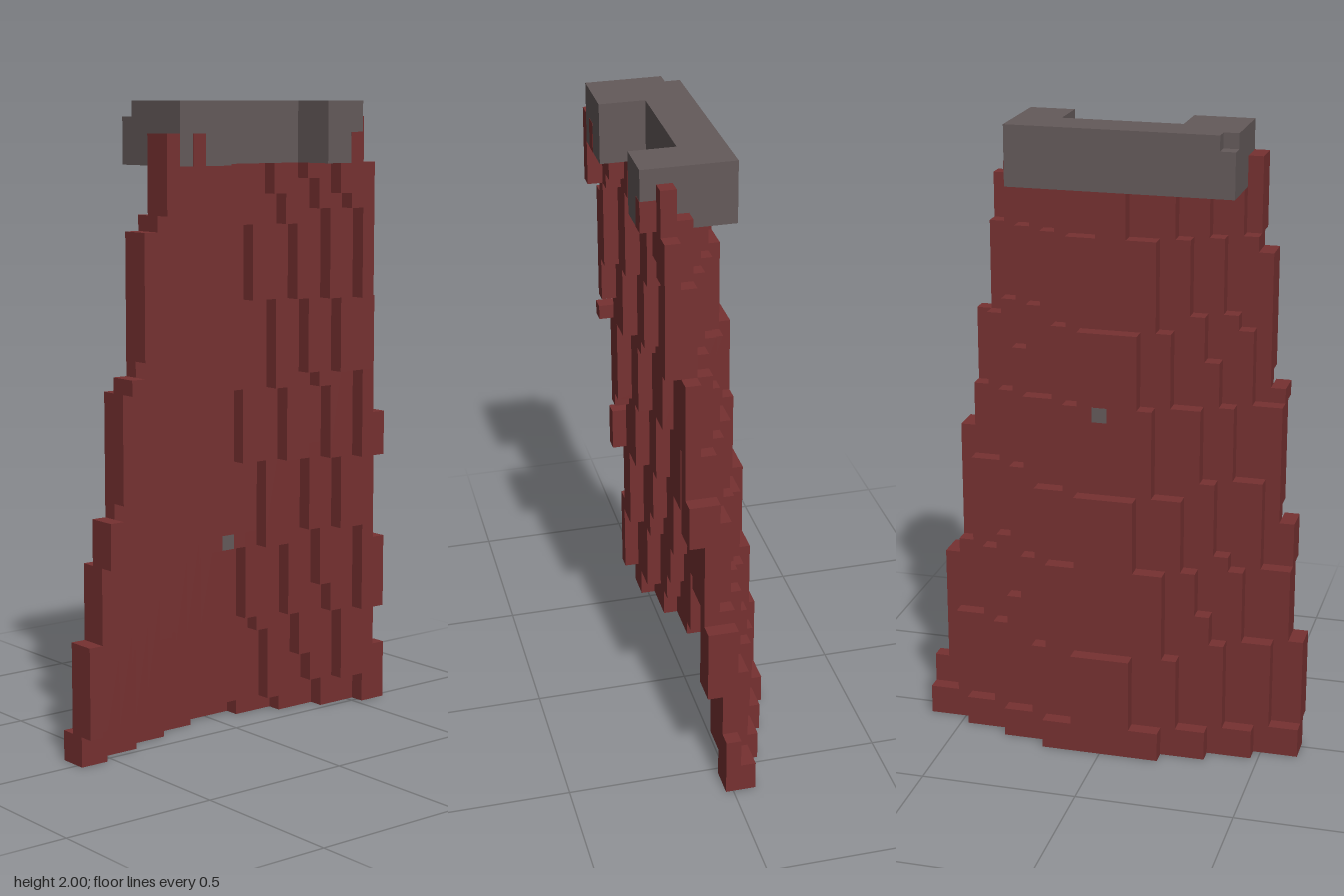
import * as THREE from 'three';
import { mergeGeometries } from 'three/addons/utils/BufferGeometryUtils.js';

const V = 2 / 42; // edge of one block

// Box between two corners, given in blocks
function block(x0, x1, y0, y1, z0, z1) {
  const g = new THREE.BoxGeometry((x1 - x0) * V, (y1 - y0) * V, (z1 - z0) * V);
  return g.translate((x0 + x1) / 2 * V, (y0 + y1) / 2 * V, (z0 + z1) / 2 * V);
}

// The curve across the cloth rises in half-block folds, starting at these shares of the half width
const FOLDS = [0.128, 0.28, 0.39, 0.51, 0.62, 0.73, 0.84, 0.945];
const foldRise = (u, most) => 0.496 * Math.min(most, FOLDS.filter((f) => u >= f).length);

// Back and front of the cloth at block column x, row y; it leans forward one block every 11 rows
function clothSpan(x, y) {
  const u = Math.abs(x) / (13.15 - 0.12 * y);
  const back = -4.5 + Math.floor((y + 4.1) / 11 + foldRise(u - 0.03, 7));
  const front = -3.5 + Math.floor((y + 10.1) / 11 + foldRise(u, x > 0 ? 7 : 8));
  return [back, Math.min(4.5, Math.max(front, back + 1))];
}

// Height of each column, giving the stepped, tapering side edges
function columnTop(x) {
  if (x > 0) return Math.min(38, Math.floor((12.98 - x) * 8.5));
  return Math.min(x < -8 ? 40 : 38, Math.floor((12.98 + x) * 8.6 + 4.1));
}

export function createModel() {
  const group = new THREE.Group();
  const red = new THREE.MeshStandardMaterial({ color: 0x763131 });
  red.name = 'dark red cloth';
  const grey = new THREE.MeshStandardMaterial({ color: 0x645a5a });
  grey.name = 'warm grey';

  const add = (name, boxes, material) => {
    const mesh = new THREE.Mesh(mergeGeometries(boxes), material);
    mesh.name = name;
    group.add(mesh);
  };

  // Cloth: each column is cut into runs of rows with the same depth
  const cloth = [];
  for (let x = -12.5; x < 13; x++) {
    const top = columnTop(x);
    let start = 0;
    for (let y = 1; y <= top; y++) {
      const [back, front] = clothSpan(x, start);
      const next = clothSpan(x, y);
      if (y === top || next[0] !== back || next[1] !== front) {
        cloth.push(block(x - 0.5, x + 0.5, start, y, back, front));
        start = y;
      }
    }
  }
  add('cape', cloth, red);

  // Cloth tips beside the collar
  add('shoulderTip', [
    block(7, 8, 37, 41, 2.5, 3.5),
    block(7, 8, 37, 39, 1.5, 2.5),
  ], red);

  // U-shaped collar with one small notched back corner
  add('collar', [
    block(-7, 7, 38, 42, -1.5, 1.5),
    block(-8, -7, 38, 42, -0.5, 1.5),
    block(-8, -7, 38, 41, -1.5, -0.5),
    block(-8, -4, 38, 42, 1.5, 4.5),
    block(4, 7, 38, 42, 1.5, 4.5),
  ], grey);

  // Red patches on the collar ends
  const e = 0.02;
  add('collarPatches', [
    block(-7, -6, 38, 40, 4.5 - e, 4.5 + e),
    block(6, 7, 38, 40, 4.5 - e, 4.5 + e),
    block(7 - e, 7 + e, 38, 40, 3.5, 4.5),
  ], red);

  // Small grey patches on the front and back of the cloth
  const front = clothSpan(0.5, 12)[1];
  const back = clothSpan(0.5, 23)[0];
  add('clothPatches', [
    block(0, 1, 12, 13, front - e, front + e),
    block(0, 1, 23, 24, back - e, back + e),
  ], grey);

  return group;
}
